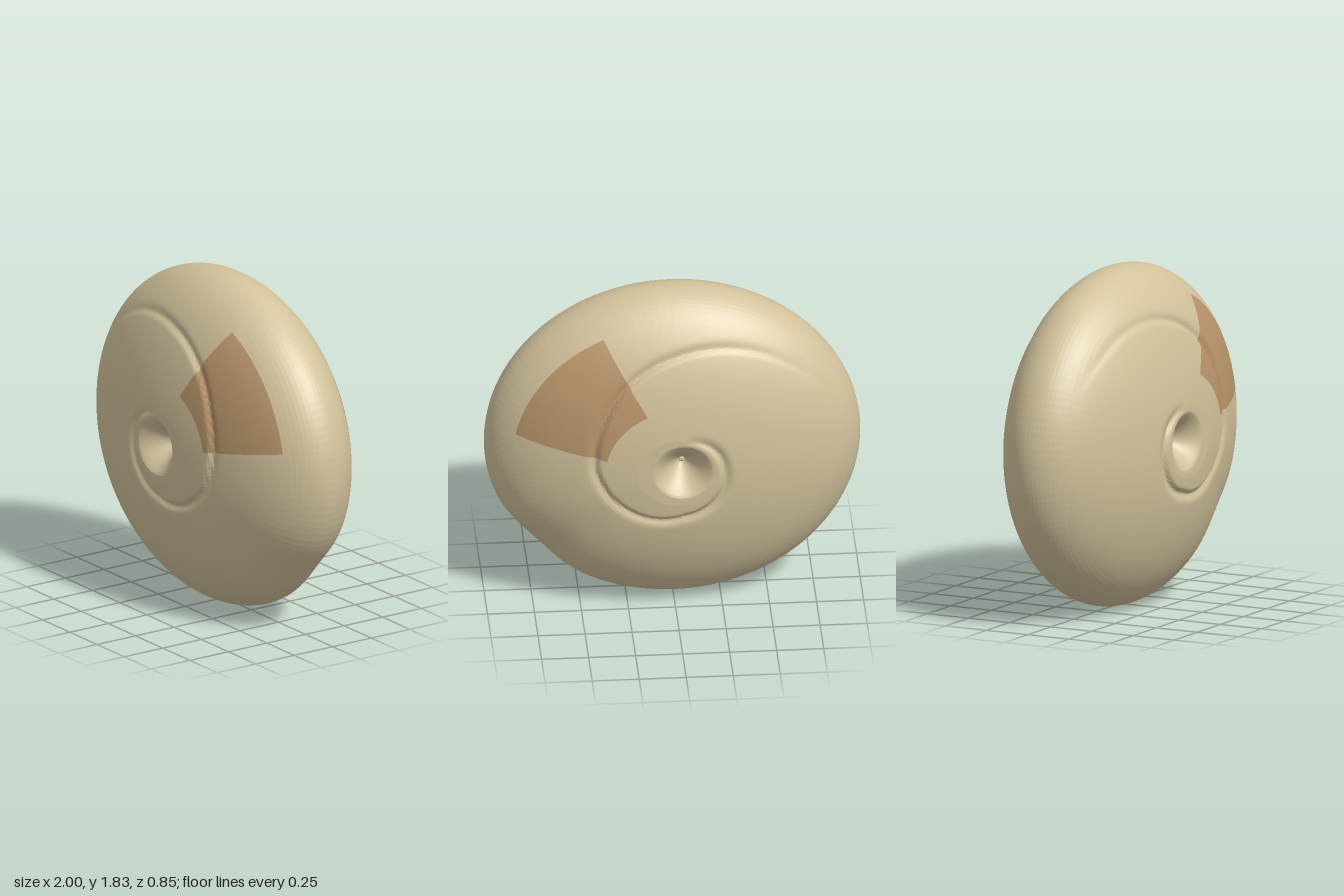
import * as THREE from 'three';

const CY = 0.915, DEG = Math.PI / 180;
const POLE = [-0.03, 0.92];
const SEG = 2.5 * DEG;

// Spiral seam: [angle in degrees, radius from the pole]
const SEAM = [[90, 0.18], [180, 0.22], [270, 0.28], [318, 0.37], [360, 0.46],
  [393, 0.50], [426, 0.58], [450, 0.64], [497, 0.78], [520, 0.87]];

function seamRadius(a) {
  for (let i = 1; i < SEAM.length; i++) {
    const [a0, r0] = SEAM[i - 1], [a1, r1] = SEAM[i];
    if (a >= a0 && a <= a1) return r0 + (r1 - r0) * (a - a0) / (a1 - a0);
  }
  return null;
}

// Elliptical outline with a shallow dent where the last whorl ends
function outline(a) {
  const c = Math.cos(a), s = Math.sin(a) / CY;
  let d = a / DEG + 38;
  d -= 360 * Math.round(d / 360);
  return 1 / Math.sqrt(c * c + s * s) - 0.033 * Math.exp(-((d / 13) ** 2));
}

// Distance from the pole to the outline in one direction
function reach(a) {
  let r = 1;
  for (let i = 0; i < 12; i++) {
    const x = POLE[0] + r * Math.cos(a), y = POLE[1] + r * Math.sin(a) - CY;
    r *= outline(Math.atan2(y, x)) / Math.hypot(x, y);
  }
  return r;
}

// Half thickness of the shell: flattened ellipsoid, spiral seam, navel funnel
function halfDepth(x, y, r, a) {
  const rho = Math.min(1, Math.hypot(x, y - CY) / outline(Math.atan2(y - CY, x)));
  let z = Math.min(0.424, 0.434 * Math.sqrt(1 - rho * rho));
  const deg = ((a / DEG) % 360 + 360) % 360;
  for (const t of [deg, deg + 360]) {
    const g = seamRadius(t);
    if (g === null) continue;
    const fade = Math.min(1, (t - 90) / 60, (520 - t) / 90);
    const d = r - g;
    z -= 0.02 * fade * Math.exp(-((d / (d < 0 ? 0.016 : 0.03)) ** 2));
  }
  if (r < 0.16) z -= 0.17 * (1 - r / 0.16) ** 1.3;
  return z;
}

// Polar sheet of one face between two radius fractions and two angles
function sheet(t0, t1, a0, a1, rings, side) {
  const u0 = Math.asin(t0), u1 = Math.asin(t1);
  const n = Math.round((a1 - a0) * DEG / SEG);
  const pos = [], index = [];
  for (let j = 0; j <= n; j++) {
    const a = a0 * DEG + j * SEG, R = reach(a);
    for (let i = 0; i <= rings; i++) {
      const t = Math.sin(u0 + (u1 - u0) * i / rings), r = R * t;
      const x = POLE[0] + r * Math.cos(a), y = POLE[1] + r * Math.sin(a);
      pos.push(x, y, t > 0.99999 ? 0 : side * halfDepth(x, y, r, a));
      if (i < rings && j < n) {
        const p = j * (rings + 1) + i, q = p + rings + 1;
        if (side > 0) index.push(p, p + 1, q + 1, p, q + 1, q);
        else index.push(p, q + 1, p + 1, p, q, q + 1);
      }
    }
  }
  const geo = new THREE.BufferGeometry();
  geo.setAttribute('position', new THREE.Float32BufferAttribute(pos, 3));
  geo.setIndex(index);
  geo.computeVertexNormals();
  return geo;
}

export function createModel() {
  const group = new THREE.Group();
  group.name = 'spiralShell';
  const shellMat = new THREE.MeshStandardMaterial({ color: 0xd2c29c, flatShading: true });
  const patchMat = new THREE.MeshStandardMaterial({ color: 0xb8956a, flatShading: true });

  for (const [side, label] of [[1, 'front'], [-1, 'back']]) {
    const half = new THREE.Group();
    half.name = label + 'Half';
    const add = (name, geo, mat) => {
      const mesh = new THREE.Mesh(geo, mat);
      mesh.name = name;
      half.add(mesh);
      return mesh;
    };
    add('innerWhorls', sheet(0, 0.4, 0, 360, 36, side), shellMat);
    add('outerWhorl', sheet(0.4, 0.87, 60, 370, 34, side), shellMat);
    add('brownPatch', sheet(0.4, 0.87, 10, 60, 34, side), patchMat);
    add('rim', sheet(0.87, 1, 0, 360, 10, side), shellMat);

    // Small bead at the bottom of the navel
    const bead = add('navelBead', new THREE.SphereGeometry(0.022, 12, 8), shellMat);
    bead.position.set(POLE[0], POLE[1], side * 0.26);
    group.add(half);
  }
  return group;
}
